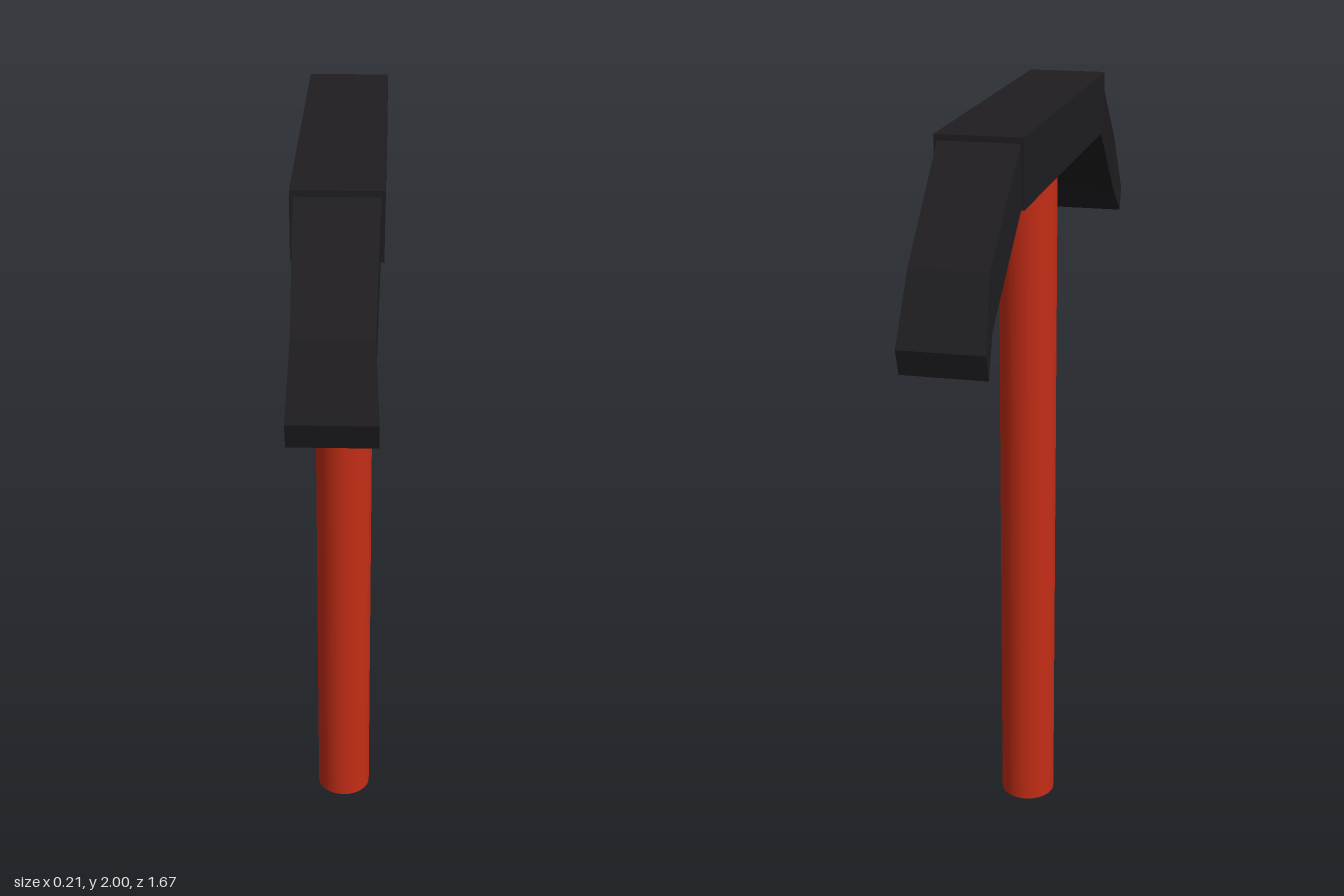
import * as THREE from 'three';

const iron = new THREE.MeshStandardMaterial({ color: 0x1f1d20, flatShading: true });
const red = new THREE.MeshStandardMaterial({ color: 0xc42d16 });

// Loft of rectangular sections: top z, top y, bottom z, bottom y, half width
function loft(sections) {
  const pos = [];
  const idx = [];
  for (const [zt, yt, zb, yb, w] of sections) {
    pos.push(-w, yt, zt, w, yt, zt, w, yb, zb, -w, yb, zb);
  }
  for (let s = 0; s < sections.length - 1; s++) {
    for (let j = 0; j < 4; j++) {
      const a = s * 4 + j;
      const b = s * 4 + (j + 1) % 4;
      idx.push(a, a + 4, b + 4, a, b + 4, b);
    }
  }
  const e = (sections.length - 1) * 4;
  idx.push(0, 1, 2, 0, 2, 3, e, e + 3, e + 2, e, e + 2, e + 1);
  const g = new THREE.BufferGeometry();
  g.setAttribute('position', new THREE.Float32BufferAttribute(pos, 3));
  g.setIndex(idx);
  const flat = g.toNonIndexed();
  flat.computeVertexNormals();
  return flat;
}

export function createModel() {
  const model = new THREE.Group();
  model.name = 'pickaxe';
  const add = (name, geometry, material) => {
    const mesh = new THREE.Mesh(geometry, material);
    mesh.name = name;
    model.add(mesh);
    return mesh;
  };

  // Round handle
  add('handle', new THREE.CylinderGeometry(0.075, 0.075, 1.86, 32), red).position.y = 0.93;

  // Straight middle of the head
  add('headBlock', new THREE.BoxGeometry(0.208, 0.162, 0.985), iron).position.y = 1.919;

  // Two bent arms, waisted at the bend and flared at the tip
  const arm = loft([
    [0.485, 1.992, 0.485, 1.842, 0.096],
    [0.76, 1.765, 0.74, 1.628, 0.09],
    [0.835, 1.605, 0.815, 1.543, 0.1],
  ]);
  add('frontArm', arm, iron);
  add('backArm', arm, iron).rotation.y = Math.PI;

  return model;
}
